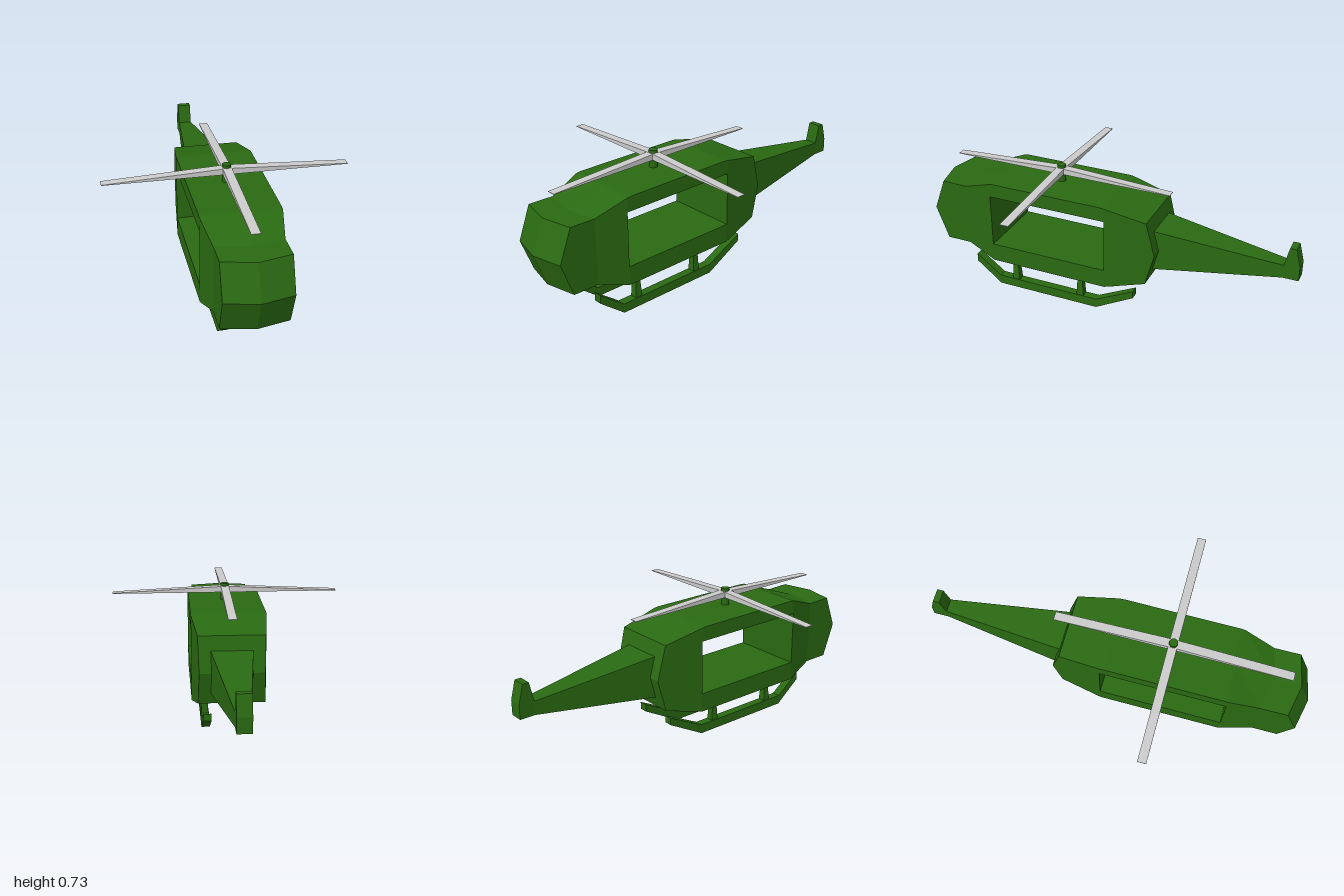
import * as THREE from 'three';

const green = new THREE.MeshStandardMaterial({ color: 0x2a6a12, flatShading: true });
const grey = new THREE.MeshStandardMaterial({ color: 0xcccccc, flatShading: true });

// Solid from a side profile of [z, y] points. halfWidth(z) tapers it in plan,
// sweep pulls the outer edges back behind the centre line.
function sideSolid(name, profile, halfWidth, sweep = () => 0) {
  const shape = new THREE.Shape(profile.map(([z, y]) => new THREE.Vector2(z, y)));
  const geometry = new THREE.ExtrudeGeometry(shape, { depth: 1, steps: 2, bevelEnabled: false });
  const p = geometry.attributes.position;
  for (let i = 0; i < p.count; i++) {
    const z = p.getX(i);
    const side = 1 - 2 * p.getZ(i);
    p.setXYZ(i, side * halfWidth(z), p.getY(i), z - Math.abs(side) * sweep(z));
  }
  geometry.computeVertexNormals();
  const mesh = new THREE.Mesh(geometry, green);
  mesh.name = name;
  return mesh;
}

const lerpBetween = (z0, w0, z1, w1) => (z) => THREE.MathUtils.mapLinear(z, z0, z1, w0, w1);

function createFuselage() {
  const body = new THREE.Group();
  body.name = 'fuselage';
  const full = () => 0.194;
  const noseWidth = () => 0.163;
  const front = 0.6, back = -0.045;
  const noseSweep = (z) => (z > 0.7 ? 0.036 : 0);

  body.add(
    // Roof and floor leave the cabin open from side to side
    sideSolid('cabinRoof', [[back, 0.565], [front, 0.565], [front, 0.637], [0.58, 0.64], [-0.02, 0.64], [back, 0.637]], full),
    sideSolid('cabinFloor', [[back, 0.18], [front, 0.18], [front, 0.28], [back, 0.28]], full),
    sideSolid('windscreen', [[front, 0.18], [0.8, 0.235], [0.8, 0.577], [front, 0.637]],
      lerpBetween(front, 0.194, 0.8, 0.163), noseSweep),
    sideSolid('nose', [[0.8, 0.235], [0.935, 0.235], [1, 0.41], [0.935, 0.58], [0.8, 0.577]], noseWidth, noseSweep),
    sideSolid('rearBody', [[back, 0.18], [back, 0.637], [-0.26, 0.59], [-0.305, 0.41], [-0.26, 0.24]],
      lerpBetween(back, 0.194, -0.305, 0.163)),
  );
  return body;
}

function createTail() {
  const tail = new THREE.Group();
  tail.name = 'tail';
  tail.add(
    sideSolid('tailBoom', [[-0.25, 0.295], [-0.25, 0.52], [-0.92, 0.445], [-0.92, 0.375]],
      lerpBetween(-0.25, 0.108, -0.92, 0.035)),
    sideSolid('tailFin', [[-0.92, 0.375], [-0.92, 0.445], [-0.942, 0.545], [-0.975, 0.545], [-1, 0.45], [-1, 0.375]],
      () => 0.035),
  );
  return tail;
}

function createRotor() {
  const rotor = new THREE.Group();
  rotor.name = 'rotor';
  rotor.position.z = 0.277;
  const mast = new THREE.Mesh(new THREE.CylinderGeometry(0.022, 0.022, 0.11, 12), green);
  mast.name = 'rotorMast';
  mast.position.y = 0.675;
  rotor.add(mast);

  // Four blades, thick at the hub and thin at the tip
  const profile = [[0, 0.684], [0.602, 0.684], [0.602, 0.687], [0, 0.716]];
  for (let i = 0; i < 4; i++) {
    const blade = sideSolid('rotorBlade', profile, () => 0.022);
    blade.material = grey;
    blade.rotation.y = (i * Math.PI) / 2;
    rotor.add(blade);
  }
  return rotor;
}

function createSkid(x) {
  const skid = new THREE.Group();
  skid.name = 'landingSkid';
  skid.position.x = x;
  // Runner with both ends turned up
  skid.add(sideSolid('skidRunner', [
    [0.74, 0.155], [0.6, 0.05], [0.025, 0.05], [-0.185, 0.155],
    [-0.185, 0.115], [0.025, 0], [0.6, 0], [0.74, 0.11],
  ], () => 0.022));
  for (const z of [0.504, 0.12]) {
    const strut = new THREE.Mesh(new THREE.CylinderGeometry(0.016, 0.028, 0.16, 4), green);
    strut.geometry.rotateY(Math.PI / 4);
    strut.name = 'skidStrut';
    strut.position.set(0, 0.12, z);
    skid.add(strut);
  }
  return skid;
}

export function createModel() {
  const model = new THREE.Group();
  model.name = 'helicopter';
  model.add(createFuselage(), createTail(), createRotor());
  for (const x of [-0.089, 0.12]) model.add(createSkid(x));
  return model;
}
